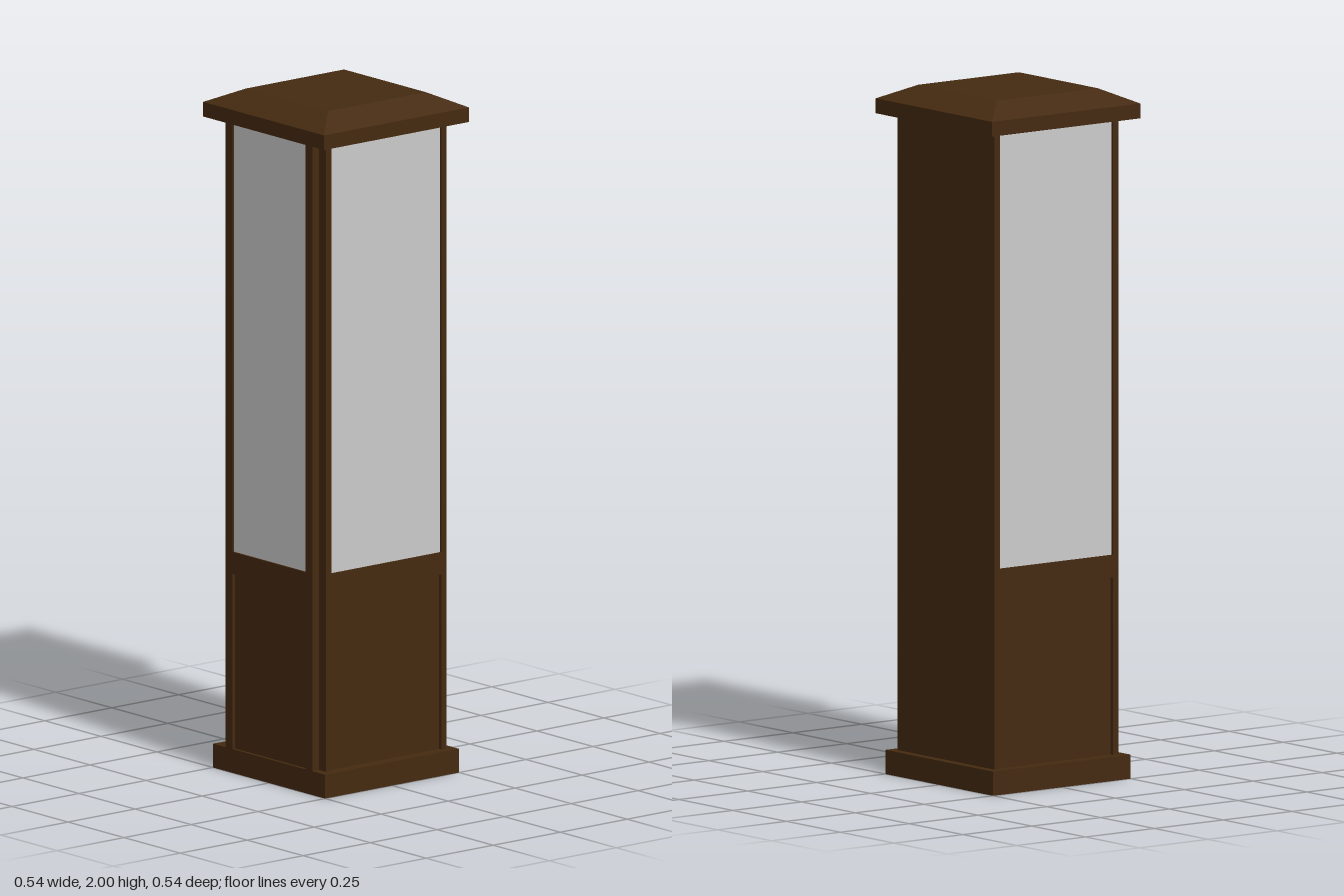
import * as THREE from 'three';

const wood = new THREE.MeshStandardMaterial({ color: 0x452a10, flatShading: true });
const glass = new THREE.MeshStandardMaterial({ color: 0xcccccc, flatShading: true });

const BASE_TOP = 0.07, CASE_TOP = 1.915;
const PANEL_TOP = 0.585, GLASS_BOTTOM = 0.65;

function add(parent, name, geometry, material = wood) {
  const mesh = new THREE.Mesh(geometry, material);
  mesh.name = name;
  parent.add(mesh);
  return mesh;
}

function box(parent, name, x0, x1, y0, y1, z0, z1, material) {
  const mesh = add(parent, name, new THREE.BoxGeometry(x1 - x0, y1 - y0, z1 - z0), material);
  mesh.position.set((x0 + x1) / 2, (y0 + y1) / 2, (z0 + z1) / 2);
  return mesh;
}

// Upright frame facing +z: stiles, middle rail, a glass pane and a recessed lower panel
function framedFace(name, outer, inner, zBack, zFront) {
  const face = new THREE.Group();
  face.name = name;
  for (const s of [-1, 1]) {
    const [a, b] = [s * inner, s * outer].sort((p, q) => p - q);
    box(face, name + 'Stile', a, b, BASE_TOP, CASE_TOP, zBack, zFront);
  }
  box(face, name + 'Rail', -inner, inner, PANEL_TOP, GLASS_BOTTOM, zBack, zFront);
  box(face, name + 'LowerPanel', -inner, inner, BASE_TOP, PANEL_TOP, zBack, zFront - 0.01);
  box(face, name + 'Glass', -inner, inner, GLASS_BOTTOM, CASE_TOP, zBack + 0.005, zFront - 0.006, glass);
  return face;
}

export function createModel() {
  const model = new THREE.Group();
  model.name = 'displayCase';

  // Plinth and plain back
  box(model, 'base', -0.25, 0.25, 0, BASE_TOP, -0.25, 0.25);
  box(model, 'back', -0.225, 0.225, BASE_TOP, CASE_TOP, -0.225, -0.205);

  // Front corner posts seen on either side of the door
  for (const s of [-1, 1]) {
    box(model, 'frontPost', s * 0.195 - 0.03, s * 0.195 + 0.03, BASE_TOP, CASE_TOP, 0.205, 0.225);
  }

  // Glazed sides
  for (const s of [-1, 1]) {
    const side = framedFace(s > 0 ? 'leftSide' : 'rightSide', 0.225, 0.205, 0.205, 0.225);
    side.rotation.y = s * Math.PI / 2;
    model.add(side);
  }

  // Door standing proud of the front
  model.add(framedFace('door', 0.193, 0.163, 0.225, 0.25));

  // Cap slab with a bevelled top
  box(model, 'capSlab', -0.27, 0.27, CASE_TOP, 1.958, -0.27, 0.27);
  const bevel = new THREE.CylinderGeometry(0.183 * Math.SQRT2, 0.27 * Math.SQRT2, 0.042, 4);
  bevel.rotateY(Math.PI / 4);
  add(model, 'capBevel', bevel).position.y = 1.979;

  return model;
}
